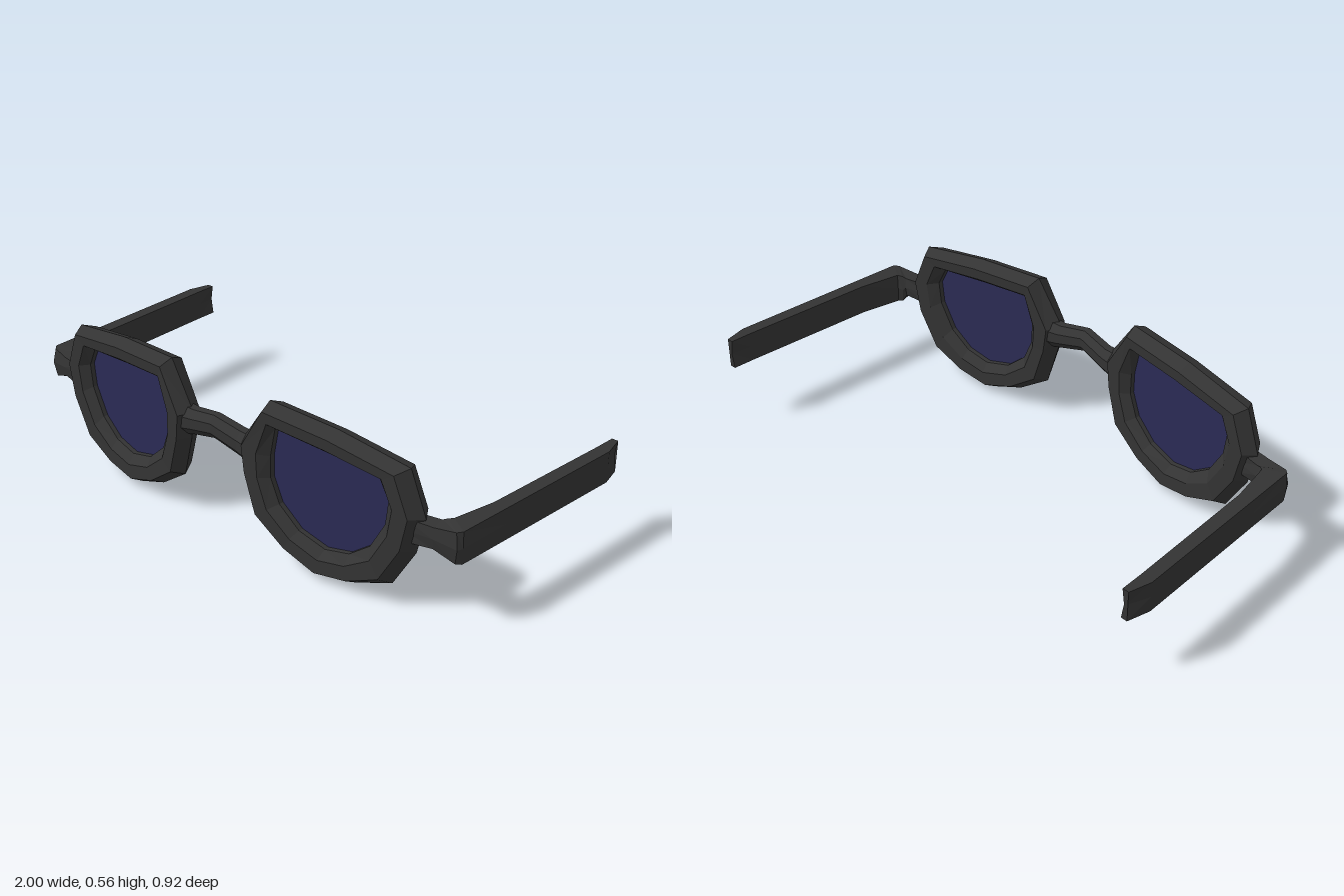
import * as THREE from 'three';

const frameMaterial = new THREE.MeshStandardMaterial({ color: 0x333333, flatShading: true });
const lensMaterial = new THREE.MeshStandardMaterial({ color: 0x2b2b55, side: THREE.DoubleSide });

// Outer and inner outlines of one rim, as matching x, y corners
const rimOuter = [[0.23, 0.565], [0.5, 0.548], [0.77, 0.505], [0.83, 0.35], [0.8, 0.22], [0.715, 0.075],
  [0.575, 0.02], [0.44, 0], [0.31, 0.05], [0.18, 0.14], [0.135, 0.3], [0.12, 0.4]];
const rimInner = [[0.265, 0.48], [0.47, 0.465], [0.67, 0.445], [0.705, 0.375], [0.695, 0.29], [0.64, 0.19],
  [0.56, 0.13], [0.465, 0.11], [0.36, 0.14], [0.28, 0.21], [0.245, 0.295], [0.245, 0.375]];

// Rim section: share of the way from outer to inner outline, depth from the mid plane
const rimSection = [[0, 0], [0.25, 0.05], [0.72, 0.048], [1, 0.018], [1, -0.018], [0.72, -0.048], [0.25, -0.05]];

// The lenses sweep back towards the temples
const sweepZ = (x) => 0.427 - 0.0926 * x;

// Joins rings of points into a faceted skin; side -1 mirrors it across x = 0
function loft(rings, side, closed) {
  const pos = [];
  const tri = (a, b, c) => {
    for (const p of side > 0 ? [a, b, c] : [a, c, b]) pos.push(p[0] * side, p[1], p[2]);
  };
  const n = rings[0].length;
  const spans = closed ? rings.length : rings.length - 1;
  for (let i = 0; i < spans; i++) {
    const r = rings[i], q = rings[(i + 1) % rings.length];
    for (let j = 0; j < n; j++) {
      const k = (j + 1) % n;
      tri(r[j], r[k], q[k]);
      tri(r[j], q[k], q[j]);
    }
  }
  if (!closed) {
    const first = rings[0], last = rings[rings.length - 1];
    for (let j = 1; j < n - 1; j++) {
      tri(first[0], first[j + 1], first[j]);
      tri(last[0], last[j], last[j + 1]);
    }
  }
  const geometry = new THREE.BufferGeometry();
  geometry.setAttribute('position', new THREE.Float32BufferAttribute(pos, 3));
  geometry.computeVertexNormals();
  return geometry;
}

function makeRim(side) {
  const rings = rimOuter.map(([ox, oy], i) => {
    const [ix, iy] = rimInner[i];
    return rimSection.map(([t, depth]) => {
      const x = ox + (ix - ox) * t;
      return [x, oy + (iy - oy) * t, sweepZ(x) + depth];
    });
  });
  return loft(rings, side, true);
}

function makeLens(side) {
  const shape = new THREE.Shape(rimInner.map(([x, y]) => new THREE.Vector2(x * side, y)));
  const geometry = new THREE.ShapeGeometry(shape);
  const p = geometry.attributes.position;
  for (let i = 0; i < p.count; i++) p.setZ(i, sweepZ(Math.abs(p.getX(i))));
  geometry.computeVertexNormals();
  return geometry;
}

// Hinge and arm: outer x, z; inner x, z; bottom and top y; bulge of the mid-height ridge
const templeStations = [
  [0.77, 0.38, 0.77, 0.33, 0.26, 0.345, 0],
  [0.87, 0.365, 0.86, 0.31, 0.27, 0.345, 0.006],
  [0.945, 0.35, 0.875, 0.303, 0.242, 0.352, 0.012],
  [0.96, 0.335, 0.89, 0.292, 0.24, 0.355, 0.004],
  [0.971, 0.13, 0.92, 0.135, 0.24, 0.355, 0.002],
  [0.998, -0.38, 0.951, -0.38, 0.24, 0.355, 0],
  [0.978, -0.462, 0.954, -0.462, 0.24, 0.355, -0.009],
];

function makeTemple(side) {
  const rings = templeStations.map(([ox, oz, ix, iz, y0, y1, bulge]) => {
    const len = Math.hypot(ox - ix, oz - iz);
    const bx = (ox - ix) / len * bulge, bz = (oz - iz) / len * bulge;
    const ym = (y0 + y1) / 2;
    return [[ox, y1, oz], [ox + bx, ym, oz + bz], [ox, y0, oz],
      [ix, y0, iz], [ix - bx, ym, iz - bz], [ix, y1, iz]];
  });
  return loft(rings, side, false);
}

// Bridge: x, mid y, mid z, half height, half depth
const bridgeStations = [[0.18, 0.362, 0.41, 0.056, 0.042], [0.11, 0.372, 0.41, 0.046, 0.036], [0, 0.398, 0.421, 0.042, 0.034]];

function makeBridge() {
  const half = bridgeStations.map(([x, ...rest]) => [-x, ...rest]);
  const stations = [...half, ...bridgeStations.slice(0, 2).reverse()];
  const rings = stations.map(([x, y, z, h, d]) => Array.from({ length: 8 }, (_, i) => {
    const a = (i + 0.5) * Math.PI / 4;
    return [x, y + Math.cos(a) * h * 1.08, z + Math.sin(a) * d * 1.08];
  }));
  return loft(rings, 1, false);
}

export function createModel() {
  const group = new THREE.Group();
  group.name = 'glasses';
  const add = (name, geometry, material) => {
    const mesh = new THREE.Mesh(geometry, material);
    mesh.name = name;
    group.add(mesh);
  };
  for (const [label, side] of [['left', 1], ['right', -1]]) {
    add(label + 'Rim', makeRim(side), frameMaterial);
    add(label + 'Lens', makeLens(side), lensMaterial);
    add(label + 'Temple', makeTemple(side), frameMaterial);
  }
  add('bridge', makeBridge(), frameMaterial);
  return group;
}
